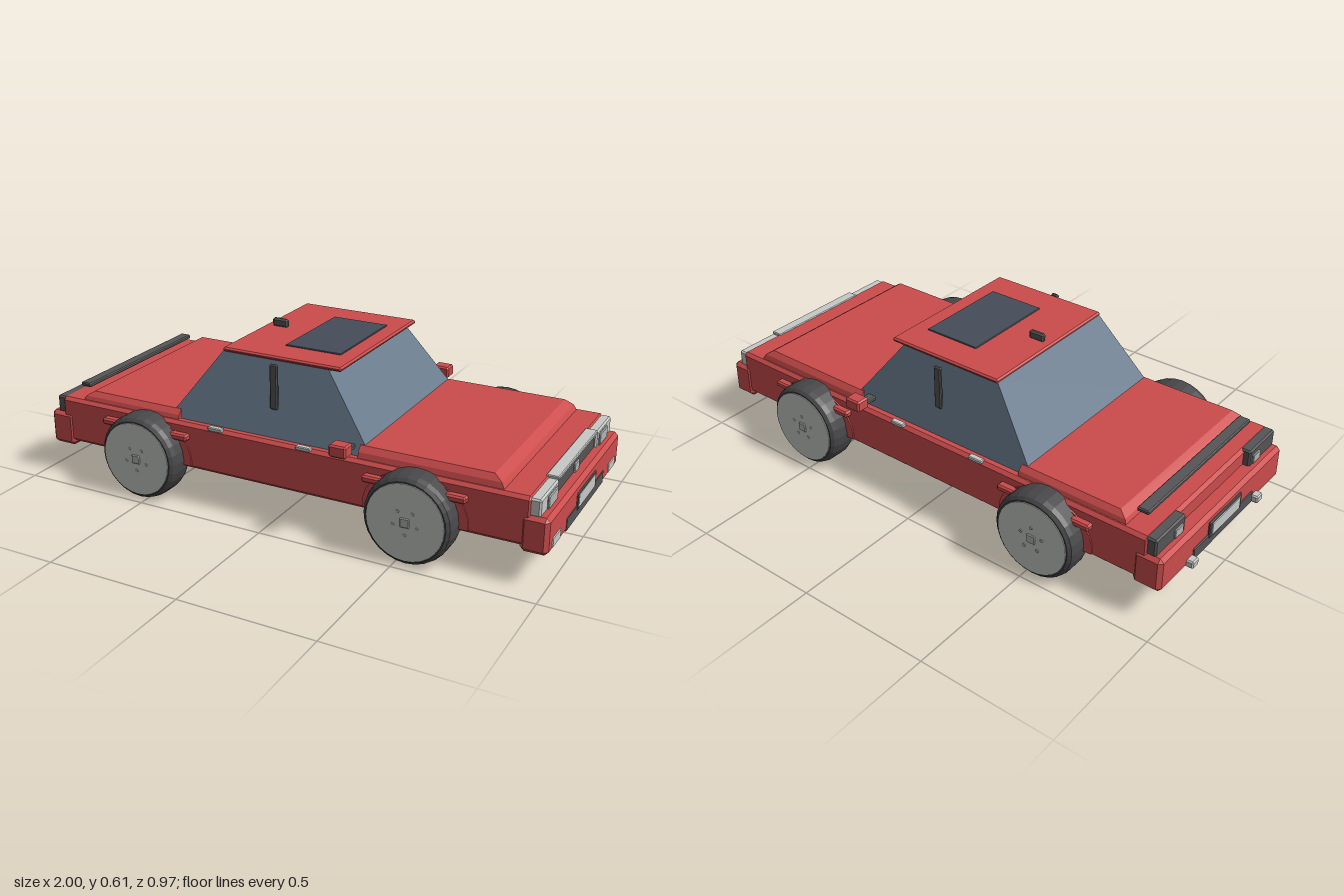
import * as THREE from 'three';
import { ConvexGeometry } from 'three/addons/geometries/ConvexGeometry.js';

const mat = (name, color) => {
  const m = new THREE.MeshStandardMaterial({ color, flatShading: true });
  m.name = name;
  return m;
};

export function createModel() {
  const red = mat('red paint', 0xcc4c4c);
  const glass = mat('window glass', 0x687a8c);
  const sunroofGlass = mat('sunroof glass', 0x464c5a);
  const rubber = mat('tyre rubber', 0x48484a);
  const trim = mat('dark trim', 0x555557);
  const silver = mat('silver', 0xc6c9c6);
  const grey = mat('lamp grey', 0xb2b5b3);

  const car = new THREE.Group();
  car.name = 'car';

  const add = (name, geometry, material, parent = car) => {
    const mesh = new THREE.Mesh(geometry, material);
    mesh.name = name;
    parent.add(mesh);
    return mesh;
  };

  // Box between two corners with bevelled edges
  const block = (name, material, x, y, z, bevel = 0.005, parent = car) => {
    const pts = [];
    for (let axis = 0; axis < 3; axis++) {
      for (let i = 0; i < 8; i++) {
        const p = [x, y, z].map((range, k) => {
          const high = (i >> k) & 1;
          const inset = k === axis ? 0 : bevel;
          return high ? range[1] - inset : range[0] + inset;
        });
        pts.push(new THREE.Vector3(...p));
      }
    }
    return add(name, new ConvexGeometry(pts), material, parent);
  };

  // Solid through stacked rectangles: [y, xMin, xMax, halfWidth]
  const stack = (name, material, levels) => {
    const pts = [];
    for (const [y, x0, x1, w] of levels) {
      for (const x of [x0, x1]) for (const z of [-w, w]) pts.push(new THREE.Vector3(x, y, z));
    }
    return add(name, new ConvexGeometry(pts), material);
  };

  // Pair of blocks on both sides of the car
  const pair = (name, material, x, y, z, bevel) => {
    block(name + 'Left', material, x, y, z, bevel);
    block(name + 'Right', material, x, y, [-z[1], -z[0]], bevel);
  };

  // Body shell
  block('body', red, [-0.92, 0.935], [0.13, 0.305], [-0.4, 0.4], 0.012);
  stack('hood', red, [[0.3, 0.32, 0.838, 0.385], [0.325, 0.32, 0.825, 0.378], [0.345, 0.32, 0.795, 0.362]]);
  stack('trunk', red, [[0.3, -0.828, -0.4, 0.385], [0.32, -0.818, -0.4, 0.378], [0.338, -0.79, -0.4, 0.362]]);
  block('frontBumper', red, [0.9, 0.995], [0.112, 0.243], [-0.405, 0.405], 0.014);
  block('rearBumper', red, [-0.975, -0.87], [0.112, 0.243], [-0.405, 0.405], 0.014);

  // Cabin and roof
  stack('cabin', glass, [[0.3, -0.452, 0.37, 0.37], [0.568, -0.25, 0.165, 0.3]]);
  block('roof', red, [-0.252, 0.217], [0.564, 0.58], [-0.306, 0.306], 0.006);
  block('sunroof', sunroofGlass, [-0.065, 0.155], [0.576, 0.584], [-0.187, 0.187], 0.002);
  block('antennaBase', trim, [-0.222, -0.16], [0.578, 0.61], [-0.01, 0.01], 0.006);
  pair('doorPillar', trim, [-0.038, -0.008], [0.4, 0.565], [0.334, 0.348], 0.004);

  // Side details
  pair('mirror', red, [0.25, 0.315], [0.326, 0.37], [0.409, 0.463], 0.006);
  pair('mirrorArm', trim, [0.264, 0.3], [0.326, 0.342], [0.34, 0.415], 0.003);
  for (const x of [-0.232, 0.122]) {
    pair('doorHandle', silver, [x - 0.028, x + 0.028], [0.297, 0.312], [0.385, 0.408], 0.003);
  }

  // Front end
  block('grille', trim, [0.92, 0.953], [0.236, 0.298], [-0.215, 0.215], 0.003);
  block('grilleStrip', silver, [0.918, 0.962], [0.295, 0.309], [-0.22, 0.22], 0.003);
  block('grillePlate', grey, [0.95, 0.959], [0.24, 0.276], [-0.025, 0.025], 0.003);
  pair('headlight', silver, [0.915, 0.962], [0.238, 0.3], [0.216, 0.394], 0.006);
  pair('headlightLens', grey, [0.96, 0.969], [0.243, 0.288], [0.24, 0.332], 0.003);
  pair('fogLight', silver, [0.988, 0.998], [0.126, 0.162], [0.277, 0.36], 0.003);
  block('frontIntake', trim, [0.985, 0.997], [0.116, 0.166], [-0.213, 0.213], 0.003);
  block('frontPlateFrame', trim, [0.985, 0.999], [0.146, 0.209], [-0.107, 0.107], 0.003);
  block('frontPlate', silver, [0.993, 1.0], [0.15, 0.202], [-0.094, 0.094], 0.002);

  // Rear end
  pair('tailLight', trim, [-0.945, -0.88], [0.238, 0.304], [0.215, 0.394], 0.006);
  pair('reverseLight', grey, [-0.951, -0.943], [0.247, 0.28], [0.235, 0.285], 0.002);
  block('spoiler', trim, [-0.876, -0.832], [0.334, 0.35], [-0.335, 0.335], 0.004);
  block('rearIntake', trim, [-0.979, -0.967], [0.118, 0.165], [-0.2, 0.2], 0.003);
  block('rearPlateFrame', trim, [-0.982, -0.967], [0.15, 0.215], [-0.107, 0.107], 0.003);
  block('rearPlate', silver, [-0.985, -0.978], [0.157, 0.208], [-0.094, 0.094], 0.002);
  pair('exhaust', silver, [-1.0, -0.95], [0.116, 0.145], [0.2, 0.24], 0.005);

  // Wheels, with the axle along local y
  const tyreProfile = [[0.0, -0.058], [0.142, -0.058], [0.154, -0.048], [0.159, -0.03],
    [0.159, 0.03], [0.154, 0.048], [0.143, 0.058], [0, 0.058]].map(p => new THREE.Vector2(...p));
  const tyre = new THREE.LatheGeometry(tyreProfile, 28);
  const rim = new THREE.CylinderGeometry(0.138, 0.138, 0.006, 28);
  const bolt = new THREE.CylinderGeometry(0.006, 0.006, 0.008, 8);

  for (const x of [-0.528, 0.539]) {
    for (const side of [1, -1]) {
      const wheel = new THREE.Group();
      wheel.name = (x > 0 ? 'front' : 'rear') + (side > 0 ? 'Left' : 'Right') + 'Wheel';
      wheel.position.set(x, 0.159, side * 0.417);
      wheel.rotation.x = side * Math.PI / 2;
      add('tyre', tyre, rubber, wheel);
      add('rim', rim, silver, wheel).position.y = 0.058;
      block('hubCap', grey, [-0.017, 0.017], [0.055, 0.066], [-0.017, 0.017], 0.003, wheel);
      for (let i = 0; i < 5; i++) {
        const a = Math.PI / 2 + i * Math.PI * 2 / 5;
        add('bolt', bolt, grey, wheel).position.set(0.045 * Math.cos(a), 0.06, 0.045 * Math.sin(a));
      }
      car.add(wheel);

      // Raised wheel arch, flat along the sill
      const arch = new THREE.Shape();
      arch.absarc(0, 0, 0.19, -0.12, Math.PI + 0.12, false);
      arch.closePath();
      const archMesh = add('wheelArch', new THREE.ExtrudeGeometry(arch,
        { depth: 0.012, bevelEnabled: false, curveSegments: 16 }), red);
      archMesh.position.set(x, 0.159, side > 0 ? 0.393 : -0.405);
      archMesh.scale.y = 0.76;
    }
    // Side moulding over the wheel
    pair('fenderMoulding', red, [x - 0.185, x + 0.185], [0.242, 0.267], [0.395, 0.427], 0.006);
  }
  return car;
}
